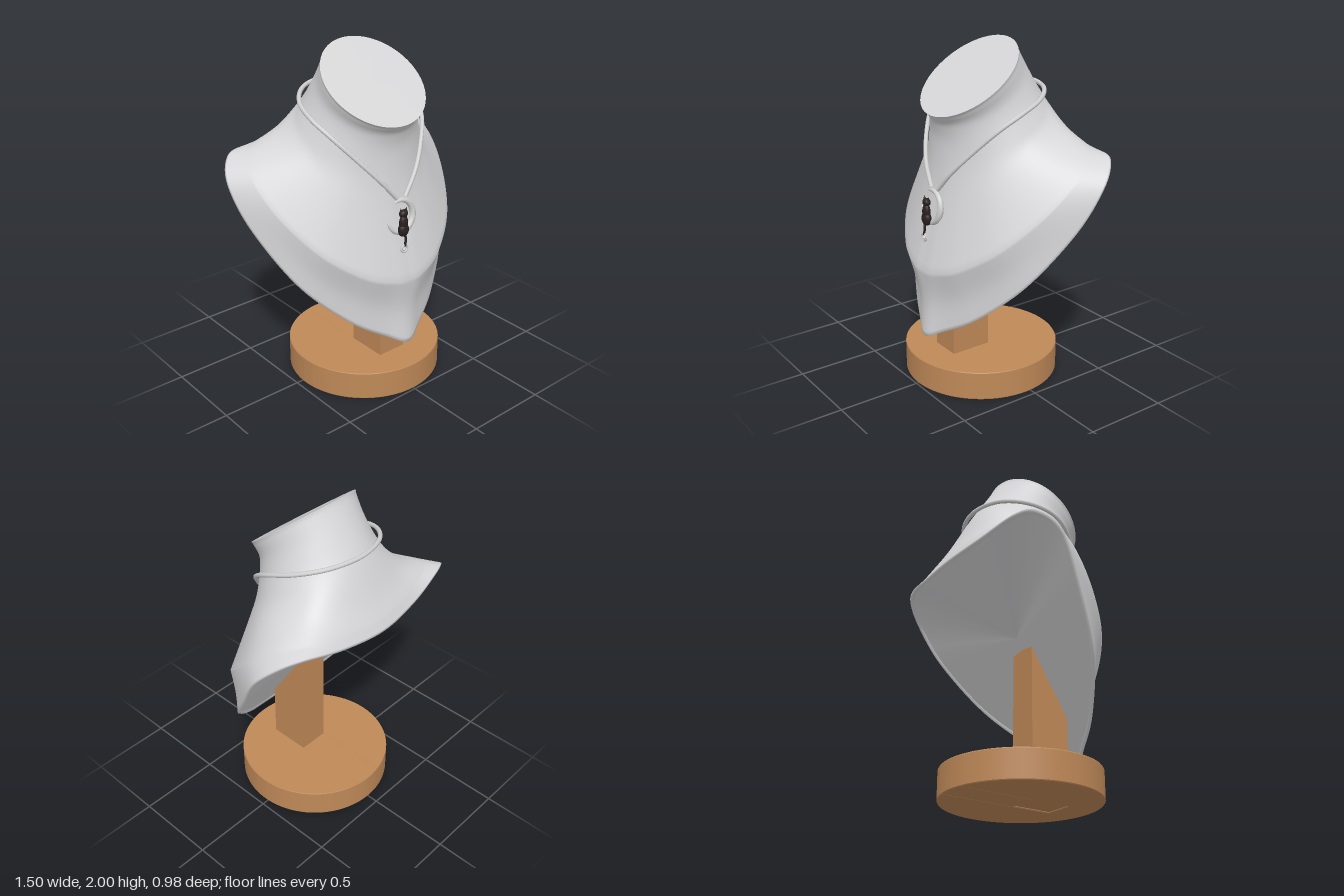
import * as THREE from 'three';

const V = (x, y, z) => new THREE.Vector3(x, y, z);
const COLS = 144;

const mat = (name, color) => {
  const m = new THREE.MeshStandardMaterial({ color });
  m.name = name;
  return m;
};

// Closed symmetric ring from half its stations, running back -> left side -> front
function ring(half) {
  const other = half.slice(1, -1).reverse().map(p => V(-p.x, p.y, p.z));
  const curve = new THREE.CatmullRomCurve3([...half, ...other], true, 'catmullrom', 0.5);
  return Array.from({ length: COLS }, (_, j) => curve.getPoint(j / COLS));
}

// Tilted elliptical ring for the neck
const neckRing = (rx, cy, ry, cz, rz) => ring(Array.from({ length: 10 }, (_, i) => {
  const a = i * Math.PI / 9;
  return V(rx * Math.sin(a), cy + ry * Math.cos(a), cz - rz * Math.cos(a));
}));

// Smooth skin over a list of rings
function skin(rows) {
  const idx = [];
  for (let r = 0; r < rows.length - 1; r++) {
    for (let c = 0; c < COLS; c++) {
      const a = r * COLS + c, b = r * COLS + (c + 1) % COLS;
      idx.push(a, b, a + COLS, b, b + COLS, a + COLS);
    }
  }
  const g = new THREE.BufferGeometry().setFromPoints(rows.flat());
  g.setIndex(idx);
  g.computeVertexNormals();
  return g;
}

// Curved rows passing through the given rings
function loft(rings, steps) {
  const curves = rings[0].map((_, c) => new THREE.CatmullRomCurve3(rings.map(r => r[c]), false, 'catmullrom', 0.5));
  return Array.from({ length: steps + 1 }, (_, i) => curves.map(k => k.getPoint(i / steps)));
}

const toward = (r, centre, t) => r.map(p => p.clone().lerp(centre, t));

export function createModel() {
  const model = new THREE.Group();
  const plaster = mat('light grey', 0xd6d6d8);
  const silver = mat('silver', 0xd0d0d0);
  const wood = mat('wood', 0xbf8958);
  const black = mat('black enamel', 0x2a2020);
  const add = (name, geo, material, parent = model) => {
    const m = new THREE.Mesh(geo, material);
    m.name = name;
    parent.add(m);
    return m;
  };

  // Bust: neck, chest, crease and shield-shaped rim
  const top = neckRing(0.315, 1.805, 0.195, 0.11, 0.25);
  const lip = neckRing(0.309, 1.78, 0.188, 0.093, 0.248);
  const waist = neckRing(0.308, 1.70, 0.16, 0.045, 0.265);
  const base = neckRing(0.36, 1.56, 0.15, -0.005, 0.305);
  const chest = ring([
    V(0, 1.52, -0.40), V(0.22, 1.53, -0.365), V(0.36, 1.53, -0.28), V(0.43, 1.49, -0.14), V(0.45, 1.42, -0.01),
    V(0.42, 1.32, 0.11), V(0.33, 1.23, 0.225), V(0.2, 1.17, 0.30), V(0.08, 1.14, 0.335), V(0, 1.13, 0.34)]);
  const crease = ring([
    V(0, 1.40, -0.465), V(0.28, 1.42, -0.43), V(0.48, 1.43, -0.37), V(0.60, 1.41, -0.27), V(0.655, 1.31, -0.13),
    V(0.61, 1.13, 0.05), V(0.47, 0.93, 0.25), V(0.27, 0.785, 0.385), V(0.1, 0.727, 0.438), V(0, 0.72, 0.445)]);
  const rim = ring([
    V(0, 1.345, -0.49), V(0.3, 1.365, -0.46), V(0.55, 1.405, -0.41), V(0.68, 1.385, -0.35), V(0.75, 1.27, -0.24),
    V(0.70, 1.03, -0.10), V(0.55, 0.72, 0.12), V(0.32, 0.48, 0.29), V(0.12, 0.355, 0.39), V(0, 0.30, 0.435)]);
  const flange = crease.map((p, c) => {
    const q = p.clone().lerp(rim[c], 0.5);
    q.z -= 0.018 * THREE.MathUtils.smoothstep(q.z, -0.1, 0.3);
    return q;
  });
  const backCentre = V(0, 0.98, 0);
  const edge = toward(rim, backCentre, 0.018).map(p => p.add(V(0, -0.006, -0.008)));
  const inner = toward(rim, backCentre, 0.04);

  const bust = new THREE.Group();
  bust.name = 'bust';
  model.add(bust);
  add('neckAndChest', skin([
    ...loft([top, lip, waist, base, chest, crease], 50),
    ...loft([crease, flange, rim], 16).slice(1), edge, inner]), plaster, bust);
  add('backPanel', skin([0, 0.2, 0.4, 0.6, 0.8, 1].map(t => toward(inner, backCentre, t))), plaster, bust);
  const neckCentre = V(0, 1.805, 0.11);
  add('neckTop', skin([1, 0.5, 0].map(t => toward(top, neckCentre, t))), plaster, bust);

  // Round wooden base with a slot running to the back edge, and its filler strip
  const R = 0.46, hw = 0.092, a0 = Math.acos(hw / R), bevel = 0.005;
  const slotted = new THREE.Shape();
  slotted.absarc(0, 0, R, a0, Math.PI - a0, true);
  slotted.lineTo(-hw, -0.262);
  slotted.lineTo(hw, -0.262);
  const strip = new THREE.Shape();
  strip.absarc(0, 0, R, a0, Math.PI - a0, false);
  strip.lineTo(-hw, -0.012);
  strip.lineTo(hw, -0.012);
  for (const [name, shape] of [['baseDisc', slotted], ['baseStrip', strip]]) {
    const g = new THREE.ExtrudeGeometry(shape, {
      depth: 0.172 - 2 * bevel, curveSegments: 72, bevelThickness: bevel,
      bevelSize: bevel * 0.6, bevelOffset: -bevel * 0.6, bevelSegments: 1 });
    g.rotateX(-Math.PI / 2).translate(0, bevel, 0.028);
    add(name, g, wood);
  }

  // Post with a slanted top, reaching down through the slot
  const side = new THREE.Shape([[0.04, 0.008], [0.29, 0.008], [0.29, 0.55], [0.04, 0.94]].map(p => new THREE.Vector2(...p)));
  const post = new THREE.ExtrudeGeometry(side, { depth: 2 * hw, bevelEnabled: false });
  post.rotateY(-Math.PI / 2).translate(hw, 0, 0);
  add('post', post, wood);

  // Necklace cord
  const cordHalf = [
    V(0, 1.735, -0.318), V(0.2, 1.725, -0.265), V(0.33, 1.69, -0.13), V(0.368, 1.64, 0.02),
    V(0.33, 1.56, 0.145), V(0.23, 1.43, 0.25), V(0.13, 1.31, 0.317), V(0.03, 1.19, 0.348)];
  const cord = new THREE.CatmullRomCurve3([
    ...cordHalf.slice(1).reverse().map(p => V(-p.x, p.y, p.z)), ...cordHalf]);
  add('necklaceCord', new THREE.TubeGeometry(cord, 120, 0.013, 8), silver);

  // Crescent: a ring whose thickness tapers to both ends
  const pendant = new THREE.Group();
  pendant.name = 'pendant';
  model.add(pendant);
  const arc = Math.PI * 1.6, mr = 0.092;
  const moon = new THREE.TorusGeometry(mr, 0.019, 10, 60, arc);
  const pos = moon.attributes.position;
  for (let i = 0; i < pos.count; i++) {
    const u = (i % 61) / 60, a = u * arc;
    const k = Math.pow(Math.max(Math.sin(Math.PI * u), 0), 0.4);
    const c = V(mr * Math.cos(a), mr * Math.sin(a), 0);
    const p = V().fromBufferAttribute(pos, i).sub(c).multiplyScalar(k).add(c);
    pos.setXYZ(i, p.x, p.y, p.z);
  }
  moon.computeVertexNormals();
  moon.rotateZ(Math.PI * 1.05).rotateX(-0.12).translate(-0.015, 1.085, 0.36);
  add('crescent', moon, silver, pendant);

  // Sitting cat with a hanging tail
  const ball = (name, x, y, z, sx, sy, sz) =>
    add(name, new THREE.SphereGeometry(1, 20, 14).scale(sx, sy, sz).translate(x, y, z), black, pendant);
  ball('catHaunches', -0.02, 1.015, 0.392, 0.035, 0.042, 0.026);
  ball('catBody', -0.02, 1.055, 0.392, 0.028, 0.05, 0.022);
  ball('catHead', -0.02, 1.112, 0.39, 0.028, 0.024, 0.022);
  for (const s of [-1, 1]) {
    const ear = new THREE.ConeGeometry(0.011, 0.026, 10);
    ear.rotateZ(-s * 0.2).translate(-0.02 + s * 0.019, 1.135, 0.39);
    add(s > 0 ? 'leftEar' : 'rightEar', ear, black, pendant);
  }
  const tail = new THREE.CatmullRomCurve3([V(-0.02, 0.99, 0.405), V(-0.015, 0.96, 0.408), V(-0.023, 0.92, 0.41)]);
  add('catTail', new THREE.TubeGeometry(tail, 16, 0.007, 8), black, pendant);

  // Small ring and bead below the tail
  add('tailRing', new THREE.TorusGeometry(0.022, 0.006, 8, 28).translate(-0.025, 0.905, 0.408), silver, pendant);
  add('tailBead', new THREE.SphereGeometry(0.01, 14, 10).translate(-0.025, 0.9, 0.408), silver, pendant);

  return model;
}
